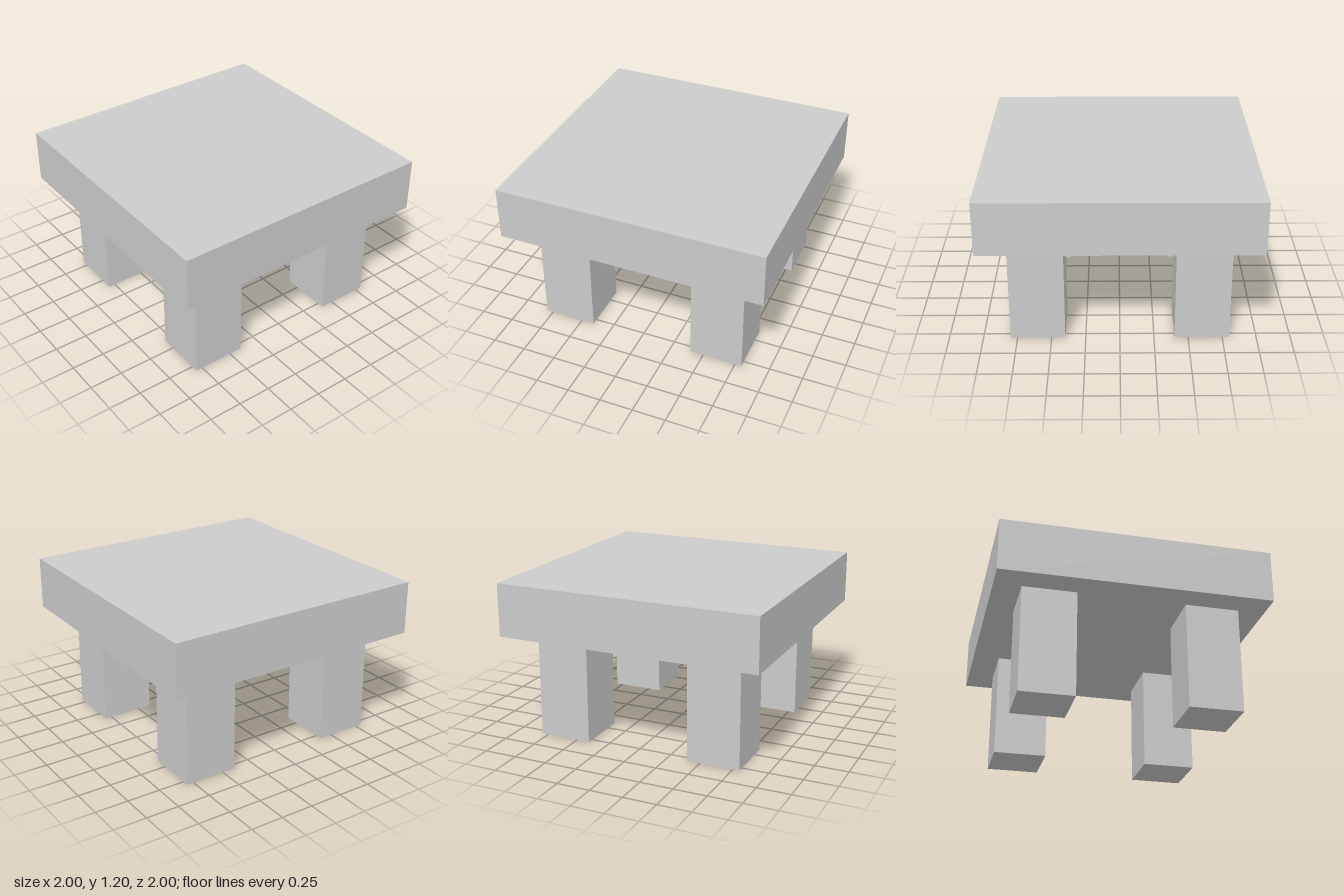
import * as THREE from 'three';

export function createModel() {
  const table = new THREE.Group();
  table.name = 'table';
  const material = new THREE.MeshStandardMaterial({ color: 0xcccccc, flatShading: true });

  const legHeight = 0.8, legWidth = 0.4, legOffset = 0.6, topThickness = 0.4;

  // Square slab top
  const top = new THREE.Mesh(new THREE.BoxGeometry(2, topThickness, 2), material);
  top.name = 'tableTop';
  top.position.y = legHeight + topThickness / 2;
  table.add(top);

  // Four square legs, set in from the corners
  const legGeometry = new THREE.BoxGeometry(legWidth, legHeight, legWidth);
  for (const [zName, z] of [['front', 1], ['back', -1]]) {
    for (const [xName, x] of [['Left', 1], ['Right', -1]]) {
      const leg = new THREE.Mesh(legGeometry, material);
      leg.name = `${zName}${xName}Leg`;
      leg.position.set(x * legOffset, legHeight / 2, z * legOffset);
      table.add(leg);
    }
  }

  return table;
}
